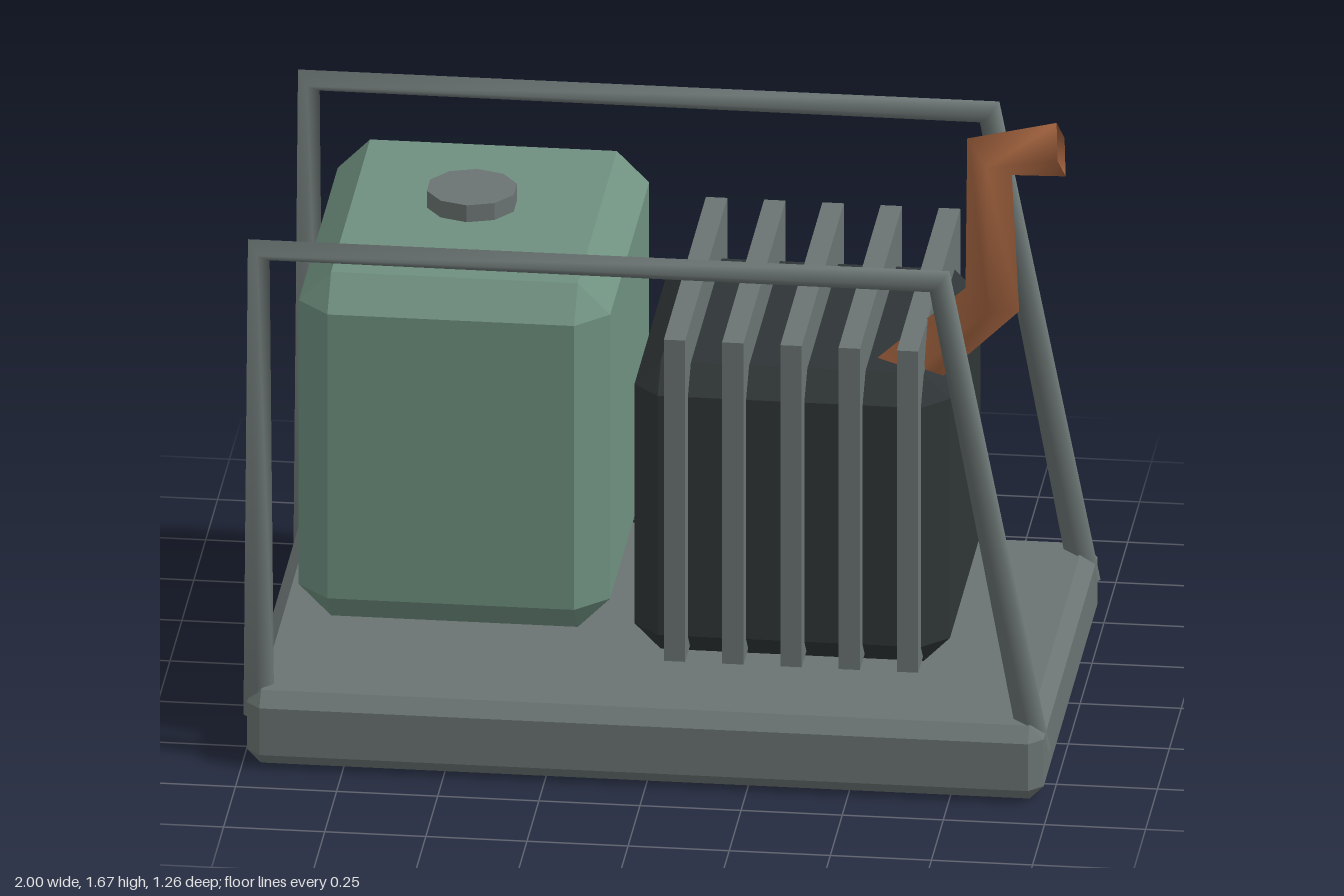
import * as THREE from 'three';
import { ConvexGeometry } from 'three/addons/geometries/ConvexGeometry.js';

const paint = (color, extra = {}) => {
  const m = new THREE.MeshStandardMaterial(extra);
  m.color.set(color);
  return m;
};

// Box with every edge cut at 45 degrees, given by its extents
function chamferBox([x0, x1], [y0, y1], [z0, z1], c) {
  const h = [(x1 - x0) / 2, (y1 - y0) / 2, (z1 - z0) / 2];
  const points = [];
  for (const sx of [-1, 1]) for (const sy of [-1, 1]) for (const sz of [-1, 1])
    for (let full = 0; full < 3; full++) {
      const [a, b, d] = h.map((v, i) => (i === full ? v : v - c));
      points.push(new THREE.Vector3(sx * a, sy * b, sz * d));
    }
  return new ConvexGeometry(points).translate((x0 + x1) / 2, (y0 + y1) / 2, (z0 + z1) / 2);
}

// Four-sided pipe through points in an xy plane, one ring per bend
function bentPipe(path, radius, z) {
  const pts = path.map(([x, y]) => new THREE.Vector2(x, y));
  const pos = [], index = [], sides = 4;
  pts.forEach((p, i) => {
    const t = new THREE.Vector2();
    if (i > 0) t.add(p.clone().sub(pts[i - 1]).normalize());
    if (i < pts.length - 1) t.add(pts[i + 1].clone().sub(p).normalize());
    t.normalize();
    for (let k = 0; k < sides; k++) {
      const a = (k / sides) * Math.PI * 2;
      const n = Math.cos(a) * radius;
      pos.push(p.x - t.y * n, p.y + t.x * n, z + Math.sin(a) * radius);
      if (i < pts.length - 1) {
        const q = i * sides + k, r = i * sides + ((k + 1) % sides);
        index.push(q, r, q + sides, r, r + sides, q + sides);
      }
    }
  });
  const g = new THREE.BufferGeometry();
  g.setAttribute('position', new THREE.Float32BufferAttribute(pos, 3));
  g.setIndex(index);
  g.computeVertexNormals();
  return g;
}

export function createModel() {
  const group = new THREE.Group();
  const steel = paint(0x6a7472, { flatShading: true });
  const tube = paint(0x6a7472, { side: THREE.DoubleSide });
  const green = paint(0x6f9080, { flatShading: true });
  const dark = paint(0x2f3536, { flatShading: true });
  const copper = paint(0xa3633f, { side: THREE.DoubleSide });
  const cream = paint(0xb8ae98, { flatShading: true });
  const red = paint(0xb54a36, { flatShading: true });
  const amber = paint(0xc9822f, { flatShading: true });
  const black = paint(0x17191a, { flatShading: true });

  const add = (name, geometry, material, x = 0, y = 0, z = 0) => {
    const mesh = new THREE.Mesh(geometry, material);
    mesh.name = name;
    mesh.position.set(x, y, z);
    group.add(mesh);
    return mesh;
  };

  // Base tray, fuel tank and engine block
  add('base', chamferBox([-0.99, 0.98], [0, 0.195], [-0.57, 0.63], 0.035), steel);
  add('fuelTank', chamferBox([-0.88, -0.11], [0.335, 1.255], [-0.46, 0.52], 0.08), green);
  add('engine', chamferBox([-0.06, 0.72], [0.25, 1.02], [-0.355, 0.42], 0.065), dark);

  // Filler cap above the tank
  add('fuelCap', new THREE.CylinderGeometry(0.113, 0.113, 0.045, 10), steel, -0.5, 1.297, 0.03);

  // Cooling fins around the engine
  for (let i = 0; i < 5; i++)
    add('coolingFin', new THREE.BoxGeometry(0.053, 0.86, 0.885), steel, 0.053 + i * 0.144, 0.7, 0.032);

  // Carrying frame, one hoop on each long side
  const hoop = [[-0.965, 0.11], [-0.965, 1.356], [0.718, 1.356], [0.955, 0.11]];
  for (const z of [0.557, -0.495]) add('frameHoop', bentPipe(hoop, 0.038, z), tube);

  // Exhaust pipe
  add('exhaust', bentPipe([[0.55, 0.94], [0.815, 1.19], [0.808, 1.572], [0.985, 1.6]], 0.072, 0.272), copper);

  // Control panel on the back
  add('controlPanel', chamferBox([-0.835, -0.18], [0.68, 1.17], [-0.543, -0.46], 0.02), cream);
  add('dial', new THREE.CylinderGeometry(0.107, 0.107, 0.065, 12).rotateX(Math.PI / 2), steel, -0.665, 0.977, -0.573);
  const pointer = add('dialPointer', new THREE.BoxGeometry(0.068, 0.016, 0.02), black, -0.64, 1.0, -0.611);
  pointer.rotation.z = Math.PI / 4;
  add('indicatorLight', new THREE.SphereGeometry(0.026, 6, 4), amber, -0.32, 0.985, -0.562);
  add('switch', new THREE.BoxGeometry(0.09, 0.058, 0.095), red, -0.365, 0.78, -0.586);

  return group;
}
